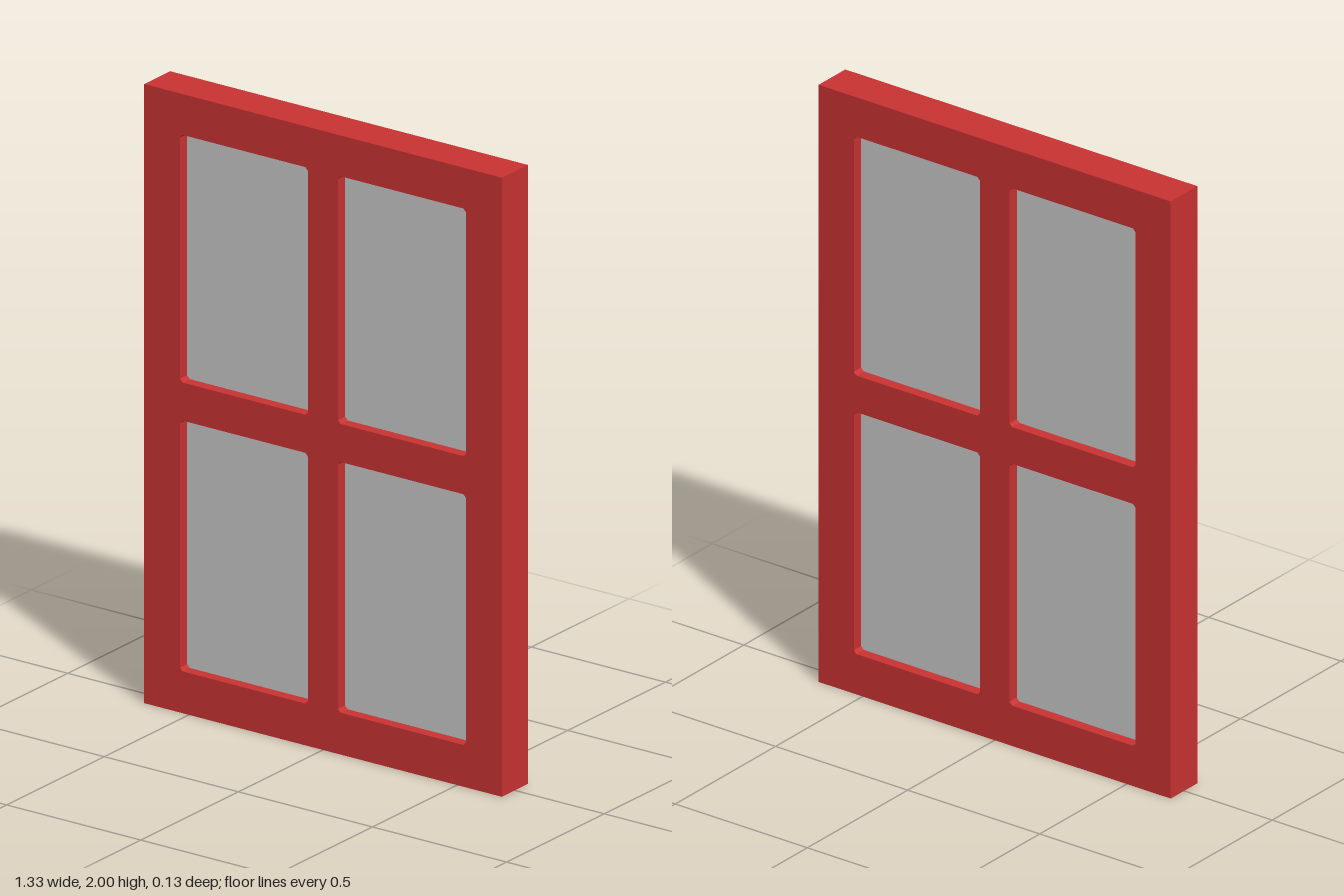
import * as THREE from 'three';

const WIDTH = 1.333, HEIGHT = 2, DEPTH = 0.133, PANE_DEPTH = 0.06;

// Rectangular outline with small cut corners
function outline(x0, y0, x1, y1, c) {
  return [
    [x0 + c, y0], [x1 - c, y0], [x1, y0 + c], [x1, y1 - c],
    [x1 - c, y1], [x0 + c, y1], [x0, y1 - c], [x0, y0 + c],
  ].map(([x, y]) => new THREE.Vector2(x, y));
}

export function createModel() {
  const model = new THREE.Group();
  model.name = 'window';

  const red = new THREE.MeshStandardMaterial({ color: 0xcc3333 });
  red.name = 'red paint';
  const grey = new THREE.MeshStandardMaterial({ color: 0xcccccc });
  grey.name = 'grey glass';

  // Frame board, pierced by four openings
  const w = WIDTH / 2;
  const board = new THREE.Shape([
    new THREE.Vector2(-w, 0), new THREE.Vector2(w, 0),
    new THREE.Vector2(w, HEIGHT), new THREE.Vector2(-w, HEIGHT),
  ]);

  const columns = { right: [-0.533, -0.056], left: [0.056, 0.533] };
  const rows = { lower: [0.135, 0.945], upper: [1.068, 1.868] };

  for (const [side, [x0, x1]] of Object.entries(columns)) {
    for (const [level, [y0, y1]] of Object.entries(rows)) {
      board.holes.push(new THREE.Path(outline(x0, y0, x1, y1, 0.01).reverse()));

      // Glass pane, recessed on both faces, its edges tucked into the frame
      const pane = new THREE.Mesh(
        new THREE.BoxGeometry(x1 - x0 + 0.01, y1 - y0 + 0.01, PANE_DEPTH), grey);
      pane.position.set((x0 + x1) / 2, (y0 + y1) / 2, 0);
      pane.name = `${level} ${side} pane`;
      model.add(pane);
    }
  }

  const frameGeometry = new THREE.ExtrudeGeometry(board, { depth: DEPTH, bevelEnabled: false });
  frameGeometry.translate(0, 0, -DEPTH / 2);
  const frame = new THREE.Mesh(frameGeometry, red);
  frame.name = 'frame';
  model.add(frame);

  return model;
}
